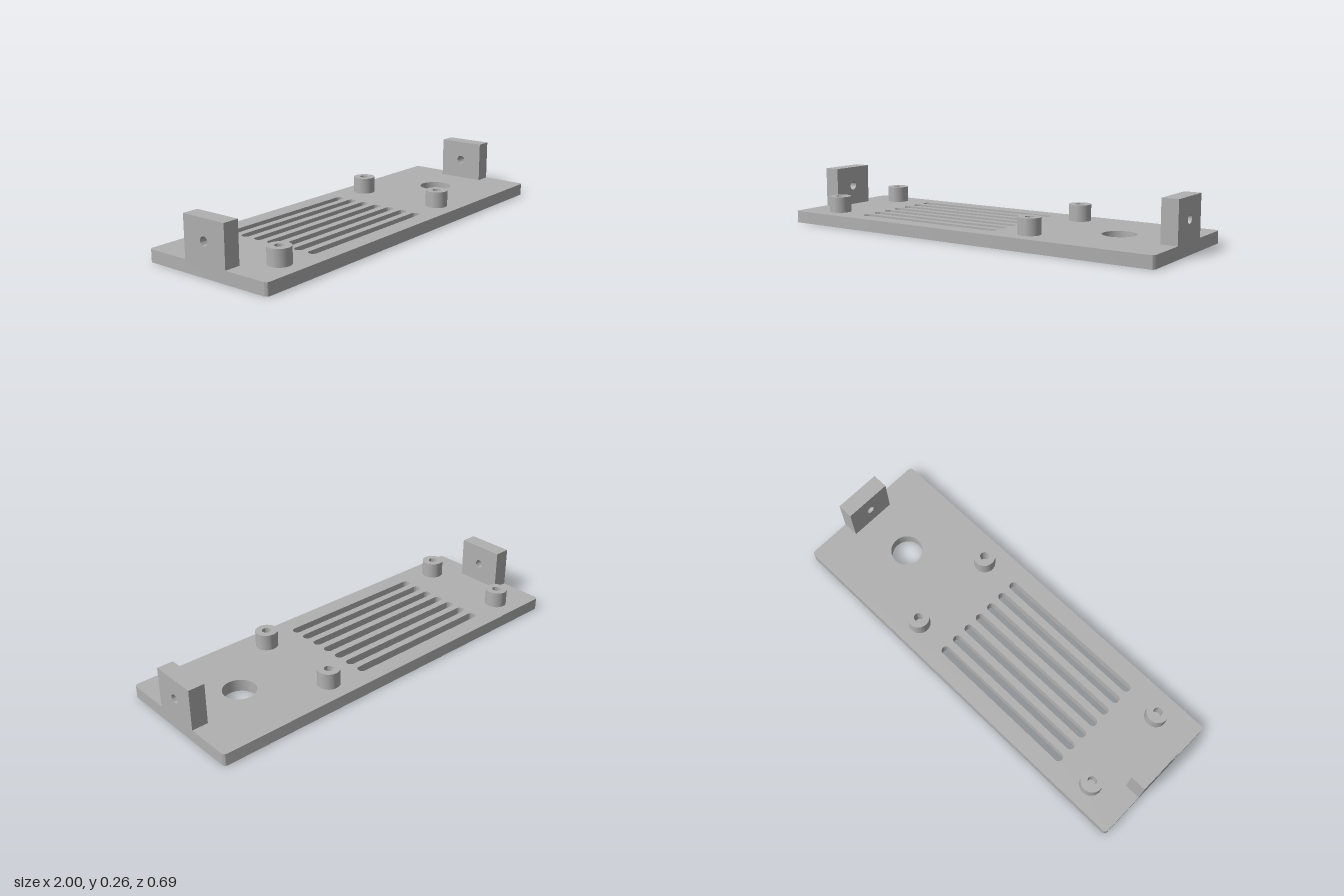
import * as THREE from 'three';
import { toCreasedNormals } from 'three/addons/utils/BufferGeometryUtils.js';

const PLATE_TOP = 0.059;

function circlePath(x, y, r) {
  return new THREE.Path().absarc(x, y, r, 0, Math.PI * 2, true);
}

// Horizontal slot with round ends
function slotPath(x0, x1, y, r) {
  const p = new THREE.Path();
  p.absarc(x1 - r, y, r, -Math.PI / 2, Math.PI / 2, false);
  p.absarc(x0 + r, y, r, Math.PI / 2, Math.PI * 1.5, false);
  p.closePath();
  return p;
}

function roundedRect(w, h, r) {
  const s = new THREE.Shape();
  s.absarc(w - r, h - r, r, 0, Math.PI / 2, false);
  s.absarc(-w + r, h - r, r, Math.PI / 2, Math.PI, false);
  s.absarc(-w + r, -h + r, r, Math.PI, Math.PI * 1.5, false);
  s.absarc(w - r, -h + r, r, Math.PI * 1.5, Math.PI * 2, false);
  s.closePath();
  return s;
}

function extrude(shape, depth) {
  const g = new THREE.ExtrudeGeometry(shape, { depth, bevelEnabled: false, curveSegments: 20 });
  return toCreasedNormals(g, 0.6);
}

export function createModel() {
  const group = new THREE.Group();
  const grey = new THREE.MeshStandardMaterial({ color: 0xb0b0b0 });
  grey.name = 'grey';

  const add = (name, geometry) => {
    const mesh = new THREE.Mesh(geometry, grey);
    mesh.name = name;
    group.add(mesh);
    return mesh;
  };

  // Base plate with vent slots and a cable hole
  const plate = roundedRect(1, 0.344, 0.018);
  for (let i = -3; i <= 3; i++) plate.holes.push(slotPath(-0.626, 0.168, i * 0.0788, 0.0215));
  plate.holes.push(circlePath(0.67, 0, 0.079));
  add('basePlate', extrude(plate, PLATE_TOP).rotateX(-Math.PI / 2));

  // Hollow mounting posts
  const ring = new THREE.Shape().absarc(0, 0, 0.0535, 0, Math.PI * 2, false);
  ring.holes.push(circlePath(0, 0, 0.0215));
  const postGeometry = extrude(ring, 0.079).rotateX(-Math.PI / 2);
  for (const x of [-0.8, 0.341]) {
    for (const z of [-0.227, 0.227]) {
      add('mountingPost', postGeometry).position.set(x, PLATE_TOP, z);
    }
  }

  // Upright end tabs, each with a screw hole
  const tab = new THREE.Shape();
  tab.moveTo(-0.118, PLATE_TOP);
  tab.lineTo(0.118, PLATE_TOP);
  tab.lineTo(0.118, 0.257);
  tab.lineTo(-0.118, 0.257);
  tab.closePath();
  tab.holes.push(circlePath(0, 0.158, 0.0215));
  const tabGeometry = extrude(tab, 0.079).rotateY(Math.PI / 2);
  add('leftEndTab', tabGeometry).position.x = 0.921;
  add('rightEndTab', tabGeometry).position.x = -1;

  return group;
}
